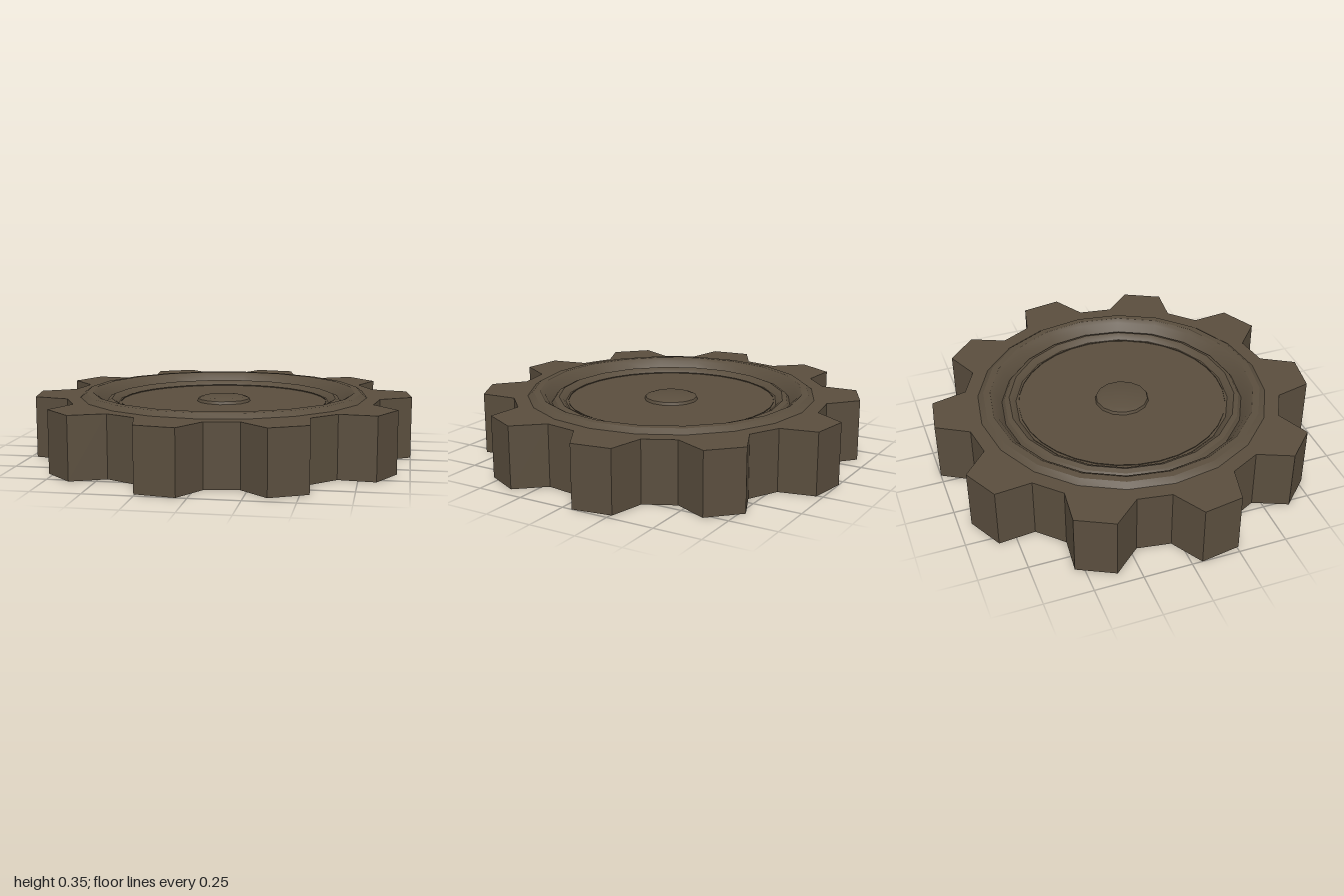
import * as THREE from 'three';
import { toCreasedNormals } from 'three/addons/utils/BufferGeometryUtils.js';

const TEETH = 10;
const TOP = 0.325;
const material = new THREE.MeshStandardMaterial({ color: 0x5a4e3e, side: THREE.DoubleSide });

function addMesh(parent, name, geometry) {
  const mesh = new THREE.Mesh(geometry, material);
  mesh.name = name;
  parent.add(mesh);
}

// Revolved part with sharp edges kept between steep facets
function turned(profile, sides) {
  const points = profile.map(([r, y]) => new THREE.Vector2(r, y));
  return toCreasedNormals(new THREE.LatheGeometry(points, sides), 0.5);
}

// Toothed outline, counter-clockwise in plan (x, -z)
function gearOutline() {
  const corners = [[-12, 0.836], [-5.95, 1.0015], [5.95, 1.0015], [12, 0.836]];
  const outline = [];
  for (let i = 0; i < TEETH; i++) {
    for (const [offset, r] of corners) {
      const a = THREE.MathUtils.degToRad(9 + i * 360 / TEETH + offset);
      outline.push(new THREE.Vector2(r * Math.cos(a), r * Math.sin(a)));
    }
  }
  return outline;
}

// Open band of flat walls following the outline
function wallBand(outline) {
  const pos = [];
  outline.forEach((a, i) => {
    const b = outline[(i + 1) % outline.length];
    const a0 = [a.x, 0, -a.y], b0 = [b.x, 0, -b.y];
    const a1 = [a.x, TOP, -a.y], b1 = [b.x, TOP, -b.y];
    pos.push(...a0, ...b0, ...b1, ...a0, ...b1, ...a1);
  });
  const geometry = new THREE.BufferGeometry();
  geometry.setAttribute('position', new THREE.Float32BufferAttribute(pos, 3));
  geometry.computeVertexNormals();
  return geometry;
}

export function createModel() {
  const gear = new THREE.Group();
  gear.name = 'gear';
  const outline = gearOutline();

  // Toothed shell, open underneath
  addMesh(gear, 'toothWalls', wallBand(outline));
  const face = new THREE.Shape(outline);
  const hole = [];
  for (let i = 0; i < 20; i++) {
    const a = -i * Math.PI / 10;
    hole.push(new THREE.Vector2(0.755 * Math.cos(a), 0.755 * Math.sin(a)));
  }
  face.holes.push(new THREE.Path(hole));
  addMesh(gear, 'topFace', new THREE.ShapeGeometry(face).rotateX(-Math.PI / 2).translate(0, TOP, 0));

  // Raised rim, stepping down past a rounded ridge to the recessed floor
  addMesh(gear, 'rimAndFloor', turned([
    [0.765, TOP], [0.735, 0.348], [0.7, 0.35], [0.675, 0.335], [0.64, 0.285],
    [0.625, 0.305], [0.6, 0.315], [0.58, 0.305], [0.565, 0.29], [0, 0.29],
  ], 20));

  // Low domed cap in the middle
  addMesh(gear, 'hubCap', turned([
    [0.144, 0.288], [0.138, 0.305], [0.11, 0.315], [0, 0.318],
  ], 14));

  // Boss under the floor, with a shallow recess and a bore
  addMesh(gear, 'lowerBoss', turned([
    [0.137, 0.285], [0.137, 0.105], [0.35, 0.105], [0.365, 0.09], [0.55, 0.09], [0.55, 0.295],
  ], 32));

  return gear;
}
